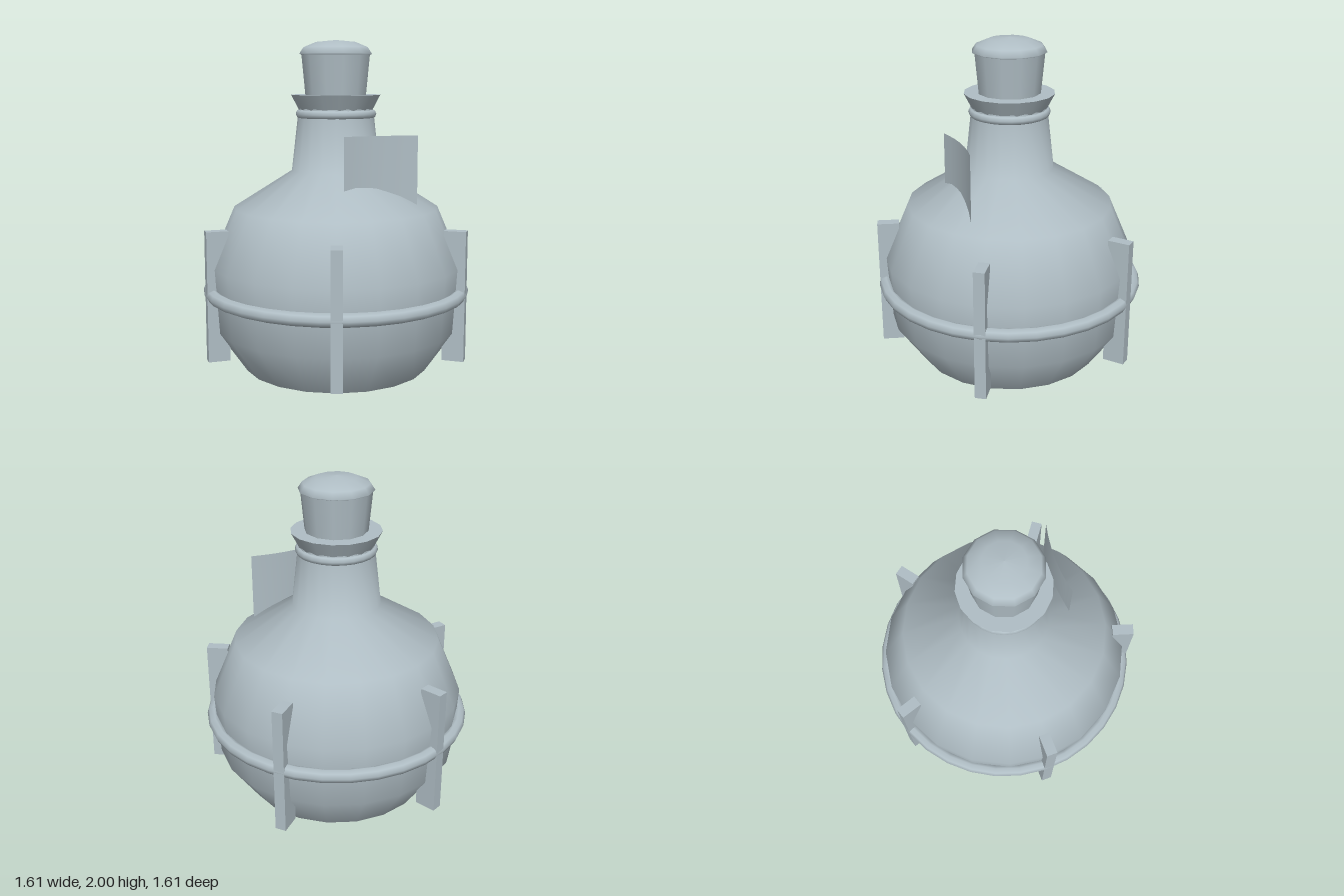
import * as THREE from 'three';

export function createModel() {
  const root = new THREE.Group();
  root.name = 'flask';
  const paleGrey = new THREE.MeshStandardMaterial({ color: 0xb0bec5, side: THREE.DoubleSide });
  paleGrey.name = 'paleBlueGrey';

  const add = (name, geometry, x = 0, y = 0, z = 0) => {
    const mesh = new THREE.Mesh(geometry, paleGrey);
    mesh.name = name;
    mesh.position.set(x, y, z);
    root.add(mesh);
    return mesh;
  };
  const lathe = (profile, sides) =>
    new THREE.LatheGeometry(profile.map(([r, y]) => new THREE.Vector2(r, y)), sides);

  // Round body running into the tapered neck
  add('body', lathe([
    [0.56, 0.03], [0.735, 0.285], [0.76, 0.67], [0.615, 1.01], [0.265, 1.23], [0.222, 1.6],
  ], 20));
  add('base', lathe([[0, 0], [0.56, 0.03]], 20));

  // Neck ring and flared lip
  add('neckRing', new THREE.TorusGeometry(0.213, 0.028, 8, 24).rotateX(Math.PI / 2), 0, 1.567);
  add('lip', new THREE.CylinderGeometry(0.267, 0.22, 0.09, 16), 0, 1.635);

  // Stopper with a low domed cap
  add('stopper', new THREE.CylinderGeometry(0.208, 0.183, 0.26, 12), 0, 1.79);
  add('stopperCap', lathe([
    [0.2, 1.908], [0.22, 1.92], [0.195, 1.957], [0.12, 1.988], [0, 2],
  ], 12));

  // Hoop around the widest part
  add('hoop', new THREE.TorusGeometry(0.766, 0.04, 8, 32).rotateX(Math.PI / 2), 0, 0.51);

  // Five upright ribs, evenly spaced
  for (let i = 0; i < 5; i++) {
    const angle = (i * Math.PI * 2) / 5;
    const rib = add('rib' + (i + 1), new THREE.BoxGeometry(0.13, 0.78, 0.065),
      0.735 * Math.cos(angle), 0.507, 0.735 * Math.sin(angle));
    rib.rotation.y = -angle;
  }

  // Thin bent label plate standing in the shoulder
  const curve = new THREE.QuadraticBezierCurve3(
    new THREE.Vector3(0.16, 0, 0.355),
    new THREE.Vector3(0.305, 0, 0.195),
    new THREE.Vector3(0.525, 0, 0.107));
  const label = new THREE.PlaneGeometry(1, 0.5, 6, 1);
  const pos = label.attributes.position;
  for (let i = 0; i < pos.count; i++) {
    const p = curve.getPoint(pos.getX(i) + 0.5);
    pos.setXYZ(i, p.x, pos.getY(i), p.z);
  }
  label.computeVertexNormals();
  add('labelPlate', label, 0, 1.205);

  return root;
}
